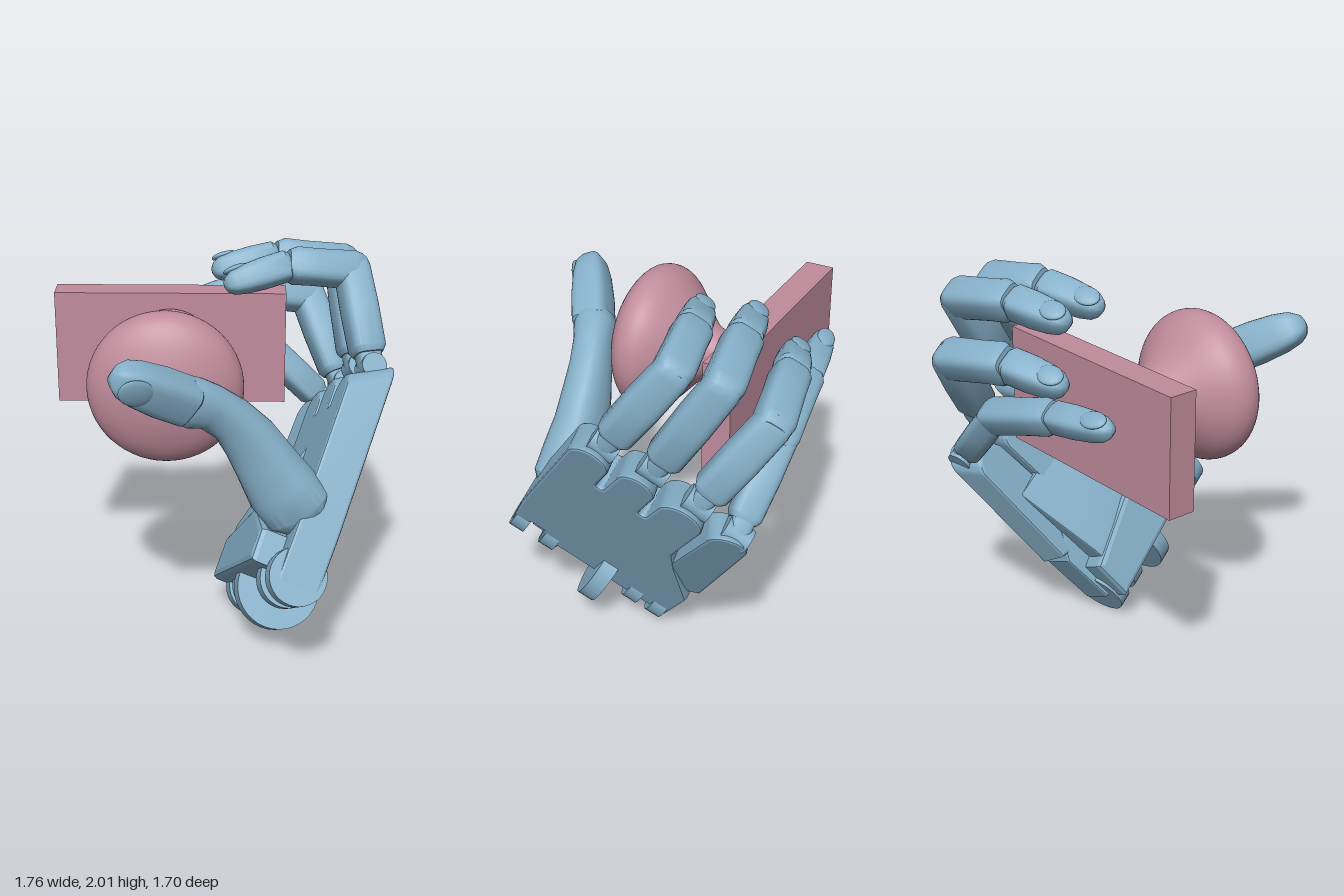
import * as THREE from 'three';
import { toCreasedNormals } from 'three/addons/utils/BufferGeometryUtils.js';

const V = (x, y, z) => new THREE.Vector3(x, y, z);
const blue = new THREE.MeshStandardMaterial({ color: 0x85afc8 });
const pink = new THREE.MeshStandardMaterial({ color: 0xc08c9c });

function add(parent, name, geometry, material = blue) {
  const mesh = new THREE.Mesh(geometry, material);
  mesh.name = name;
  parent.add(mesh);
  return mesh;
}

// Skin over cross-sections: rows are [centre, half width, half thickness]
function loft(rows, back, power = 0.55, n = 24) {
  const pos = [], idx = [];
  const bend = (c) => Math.sign(c) * Math.abs(c) ** power;
  rows.forEach(([p, w, t], i) => {
    const d = rows[Math.min(i + 1, rows.length - 1)][0].clone().sub(rows[Math.max(i - 1, 0)][0]).normalize();
    const across = d.clone().cross(back).normalize();
    const up = across.clone().cross(d);
    for (let j = 0; j < n; j++) {
      const a = (j / n) * Math.PI * 2;
      const q = p.clone().addScaledVector(across, w * bend(Math.cos(a))).addScaledVector(up, t * bend(Math.sin(a)));
      pos.push(q.x, q.y, q.z);
    }
  });
  const last = (rows.length - 1) * n;
  for (let i = 0; i < last; i += n) {
    for (let j = 0; j < n; j++) {
      const k = (j + 1) % n;
      idx.push(i + j, i + n + j, i + k, i + k, i + n + j, i + n + k);
    }
  }
  const c = pos.length / 3;
  pos.push(...rows[0][0].toArray(), ...rows[rows.length - 1][0].toArray());
  for (let j = 0; j < n; j++) {
    const k = (j + 1) % n;
    idx.push(c, j, k, c + 1, last + k, last + j);
  }
  const g = new THREE.BufferGeometry();
  g.setAttribute('position', new THREE.Float32BufferAttribute(pos, 3));
  g.setIndex(idx);
  return toCreasedNormals(g, 0.6);
}

// Straight phalanx; stops are [distance from p, scale]
function phalanx(p, q, w, t, stops, back) {
  const d = q.clone().sub(p).normalize();
  return loft(stops.map(([s, k]) => [p.clone().addScaledVector(d, s), w * k, t * k]), back);
}

// Fingertip with a nail on its back
function fingertip(parent, name, p, q, w, t, back) {
  const L = p.distanceTo(q);
  const stops = [[0, 0.8], [0.025, 1], [L * 0.4, 1], [L * 0.7, 0.9], [L * 0.87, 0.75], [L * 0.96, 0.5], [L, 0.2]];
  add(parent, name + 'Tip', phalanx(p, q, w, t, stops, back));
  const d = q.clone().sub(p).normalize();
  const across = d.clone().cross(back).normalize();
  const up = across.clone().cross(d);
  const nail = add(parent, name + 'Nail', new THREE.SphereGeometry(1, 20, 12));
  nail.scale.set(w * 0.68, L * 0.2, 0.02);
  nail.quaternion.setFromRotationMatrix(new THREE.Matrix4().makeBasis(across, d, up));
  nail.position.copy(p).addScaledVector(d, L * 0.76).addScaledVector(up, t * 0.82);
}

// Bevelled plate from z = -depth to 0; knuckle ends slope back toward the palm side
function slab(shape, depth, bevel, slope = 0) {
  const g = new THREE.ExtrudeGeometry(shape, {
    depth: depth - 2 * bevel, bevelThickness: bevel, bevelSize: bevel, bevelOffset: -bevel, bevelSegments: 2, curveSegments: 12,
  }).translate(0, 0, bevel - depth);
  const p = g.attributes.position;
  for (let i = 0; i < p.count; i++) {
    p.setY(i, p.getY(i) + p.getZ(i) * slope * THREE.MathUtils.clamp((p.getY(i) - 1) / 0.2, 0, 1));
  }
  return toCreasedNormals(g, 0.3);
}

const polygon = (pts) => new THREE.Shape(pts.map(([x, y]) => new THREE.Vector2(x, y)));

function disc(parent, name, r, width, x, y, z) {
  const m = add(parent, name, toCreasedNormals(new THREE.CylinderGeometry(r, r, width, 36), 0.6));
  m.rotation.z = Math.PI / 2;
  m.position.set(x, y, z);
}

export function createModel() {
  const model = new THREE.Group();

  // Wall plate and knob
  add(model, 'plate', new THREE.BoxGeometry(1.22, 0.61, 0.15).translate(-0.28, 1.425, -0.385), pink);
  const control = [[0.118, -0.2], [0.122, -0.1], [0.15, -0.04], [0.22, 0.03], [0.32, 0.12], [0.375, 0.19],
    [0.392, 0.26], [0.37, 0.325], [0.3, 0.38], [0.2, 0.42], [0.1, 0.443], [0, 0.45]];
  const curve = new THREE.SplineCurve(control.map(([r, z]) => new THREE.Vector2(r, z)));
  const flange = [[0, -0.31], [0.205, -0.31], [0.215, -0.295], [0.225, -0.29], [0.225, -0.26], [0.205, -0.245],
    [0.14, -0.24], [0.122, -0.225]].map(([r, z]) => new THREE.Vector2(r, z));
  const profile = [...flange, ...curve.getPoints(44)].map((p) => p.setX(Math.max(p.x, 0)));
  const knob = add(model, 'knob', toCreasedNormals(new THREE.LatheGeometry(profile, 56), 0.6), pink);
  knob.rotation.x = Math.PI / 2;
  knob.position.set(-0.28, 1.425, 0);

  // Palm frame: x across the knuckles, y along the fingers, z out of the back of the hand
  const tilt = new THREE.Group();
  tilt.position.set(0.25, 0, 0);
  tilt.rotation.set(0, Math.PI / 2, -0.41, 'ZYX');
  const palm = new THREE.Group();
  palm.name = 'palm';
  palm.rotation.z = -0.611;
  tilt.add(palm);
  model.add(tilt);

  // Back plate with three knuckle lobes and a notch between the first wrist tabs
  const s = new THREE.Shape();
  s.moveTo(0.02, 0.08);
  s.lineTo(0.02, 0.4);
  s.lineTo(-0.17, 0.67);
  s.lineTo(-0.235, 0.8);
  s.lineTo(-0.235, 1.18);
  s.absarc(-0.355, 1.18, 0.12, 0, Math.PI);
  s.lineTo(-0.48, 1.03);
  s.absarc(-0.5, 1.03, 0.02, 0, Math.PI, true);
  s.lineTo(-0.52, 1.22);
  s.absarc(-0.62, 1.22, 0.1, 0, Math.PI);
  s.lineTo(-0.725, 1.03);
  s.absarc(-0.745, 1.03, 0.02, 0, Math.PI, true);
  s.lineTo(-0.765, 1.18);
  s.absarc(-0.875, 1.18, 0.11, 0, Math.PI);
  s.lineTo(-0.985, 0.35);
  s.lineTo(-0.955, 0.01);
  s.lineTo(-0.88, 0.01);
  s.lineTo(-0.87, 0.18);
  s.lineTo(-0.79, 0.18);
  s.lineTo(-0.78, 0.03);
  s.lineTo(-0.68, 0.03);
  s.lineTo(-0.67, 0.09);
  add(palm, 'backPlate', slab(s, 0.22, 0.015, 0.6));

  // Folded plate carrying the little finger
  const little = new THREE.Shape();
  little.moveTo(-0.2, 0.66);
  little.lineTo(0, 0.42);
  little.lineTo(0.065, 0.45);
  little.lineTo(0.02, 1.16);
  little.absarc(-0.085, 1.16, 0.105, 0, Math.PI);
  const littlePlate = add(palm, 'littleFingerPlate', slab(little, 0.18, 0.015, 0.5).translate(0.19, 0, 0));
  littlePlate.position.set(-0.19, 0, -0.005);
  littlePlate.rotation.y = 0.2;

  // Heel of the hand and the ramp rising from it
  const heel = polygon([[-0.01, 0.06], [-0.02, 0.3], [-0.5, 0.42], [-0.85, 0.27], [-0.86, 0.1]]);
  add(palm, 'heel', slab(heel, 0.34, 0.03)).position.z = -0.02;
  const ramp = polygon([[0.25, -0.1], [0.25, -0.34], [0.36, -0.34], [0.85, -0.21], [0.85, -0.1]]);
  const rampMesh = add(palm, 'palmRamp', slab(ramp, 0.5, 0.01));
  rampMesh.rotation.set(Math.PI / 2, Math.PI / 2, 0);
  rampMesh.position.x = -0.08;

  // Wrist lugs and central wrist disc
  [-0.915, -0.73, -0.19, -0.04].forEach((x) => disc(palm, 'wristLug', 0.148, 0.085, x, 0.092, -0.125));
  disc(palm, 'wristDisc', 0.22, 0.09, -0.4, 0.08, -0.085);

  // Four fingers: knuckle, middle joint, end joint, tip
  const across = V(-0.221, -0.53, -0.819).normalize();
  const fingers = {
    index: [V(0.76, 1.43, -0.02), V(0.67, 1.855, -0.33), V(0.34, 1.9, -0.26), V(0.01, 1.83, -0.13)],
    middle: [V(0.71, 1.34, -0.26), V(0.635, 1.825, -0.565), V(0.28, 1.88, -0.49), V(-0.06, 1.83, -0.39)],
    ring: [V(0.65, 1.17, -0.46), V(0.46, 1.585, -0.74), V(0.09, 1.645, -0.66), V(-0.23, 1.585, -0.54)],
    little: [V(0.57, 0.99, -0.62), V(0.2, 1.34, -0.67), V(-0.22, 1.46, -0.62), V(-0.59, 1.49, -0.55)],
  };
  for (const [name, [a, b, c, d]] of Object.entries(fingers)) {
    const finger = new THREE.Group();
    finger.name = name + 'Finger';
    model.add(finger);
    const k = name === 'little' ? 0.88 : 1;
    const backOf = (p, q) => across.clone().cross(q.clone().sub(p)).normalize();
    const [ab, bc, cd] = [backOf(a, b), backOf(b, c), backOf(c, d)];
    const L = a.distanceTo(b), M = b.distanceTo(c);
    // Narrow hinge link and pin at the knuckle
    add(finger, name + 'Link', phalanx(a, b, 0.06, 0.065, [[-0.04, 0.7], [0, 1], [0.2, 1]], ab));
    const pin = add(finger, name + 'Pin', new THREE.CylinderGeometry(0.065, 0.065, 0.14, 24));
    pin.quaternion.setFromUnitVectors(V(0, 1, 0), across);
    pin.position.copy(a);
    add(finger, name + 'Proximal', phalanx(a, b, 0.098 * k, 0.092 * k,
      [[0.07, 0.78], [0.1, 0.97], [L * 0.6, 1], [L, 0.95], [L + 0.045, 0.85], [L + 0.07, 0.6]], ab));
    add(finger, name + 'Middle', phalanx(b, c, 0.097 * k, 0.093 * k,
      [[-0.065, 0.65], [-0.04, 0.88], [0, 1], [M * 0.6, 0.96], [M - 0.03, 0.98], [M + 0.01, 0.8]], bc));
    fingertip(finger, name, c, d, 0.084 * k, 0.078 * k, cd);
  }

  // Thumb
  const thumb = new THREE.Group();
  thumb.name = 'thumb';
  model.add(thumb);
  const front = V(-0.2, 0, 1).normalize();
  add(thumb, 'thumbBase', loft([
    [V(0.44, 0.765, 0.46), 0.06, 0.05], [V(0.425, 0.795, 0.46), 0.13, 0.1], [V(0.385, 0.86, 0.46), 0.18, 0.14],
    [V(0.3, 0.97, 0.455), 0.18, 0.135], [V(0.215, 1.11, 0.45), 0.155, 0.125], [V(0.14, 1.235, 0.46), 0.138, 0.115],
    [V(0.05, 1.35, 0.485), 0.115, 0.105], [V(-0.05, 1.43, 0.525), 0.112, 0.1], [V(-0.13, 1.465, 0.56), 0.125, 0.11],
    [V(-0.18, 1.49, 0.585), 0.118, 0.1], [V(-0.2, 1.505, 0.6), 0.09, 0.08],
  ], front, 0.85));
  fingertip(thumb, 'thumb', V(-0.14, 1.47, 0.575), V(-0.49, 1.69, 0.79), 0.112, 0.1, front);
  return model;
}
